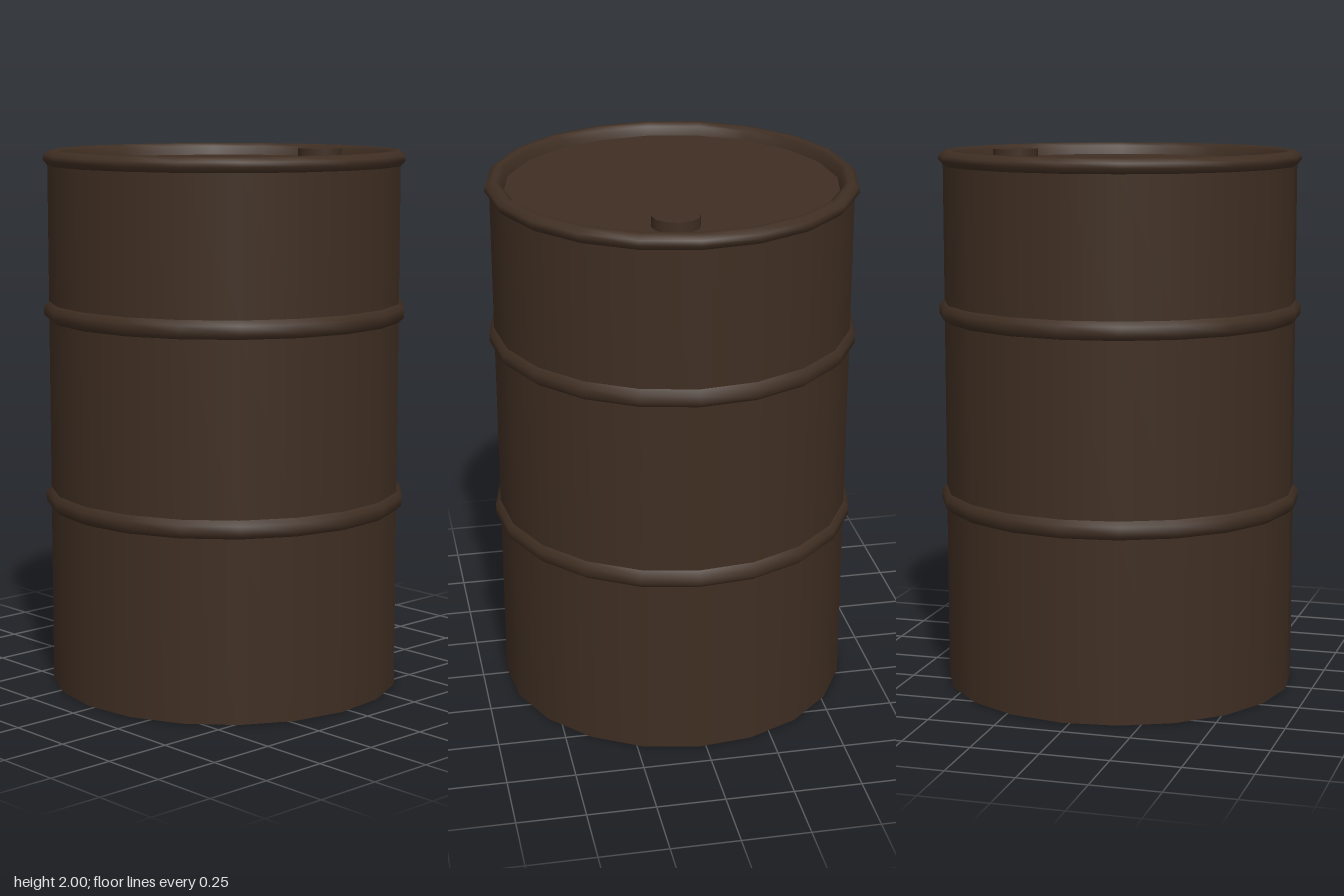
import * as THREE from 'three';

const SIDES = 20;
const TURN = -0.045; // slight twist of the facets around the axis

export function createModel() {
  const group = new THREE.Group();
  const brown = new THREE.MeshStandardMaterial({ color: 0x3f2e22, side: THREE.DoubleSide });
  brown.name = 'dark brown metal';

  const add = (name, geometry) => {
    const mesh = new THREE.Mesh(geometry, brown);
    mesh.name = name;
    group.add(mesh);
    return mesh;
  };
  // Turned section from [radius, height] pairs, listed bottom to top
  const turned = (name, profile) => {
    const points = profile.map(([r, y]) => new THREE.Vector2(r, y));
    add(name, new THREE.LatheGeometry(points, SIDES)).rotation.y = TURN;
  };

  const R = 0.655;

  // Plain wall sections between the hoops, open at the bottom
  [[0, 0.674], [0.738, 1.374], [1.442, 1.945]].forEach(([y0, y1], i) =>
    turned('wall' + (i + 1), [[R, y0], [R, y1]]));

  // Rolled hoops
  [0.706, 1.408].forEach((y, i) =>
    turned('hoop' + (i + 1), [
      [R, y - 0.033], [0.674, y - 0.016], [0.674, y + 0.016], [R, y + 0.034],
    ]));

  // Rounded top rim, rolling inward and down to the lid
  turned('rim', [
    [R, 1.945], [0.673, 1.965], [0.668, 1.982], [0.65, 1.998],
    [0.632, 2], [0.615, 1.988], [0.605, 1.955],
  ]);

  // Recessed lid
  const lid = new THREE.CircleGeometry(0.605, SIDES);
  lid.rotateX(-Math.PI / 2);
  lid.translate(0, 1.955, 0);
  add('lid', lid).rotation.y = TURN;

  // Filler cap
  const cap = add('fillerCap', new THREE.CylinderGeometry(0.086, 0.086, 0.04, 12));
  cap.position.set(0.43, 1.975, 0.07);
  cap.rotation.y = TURN;

  return group;
}
